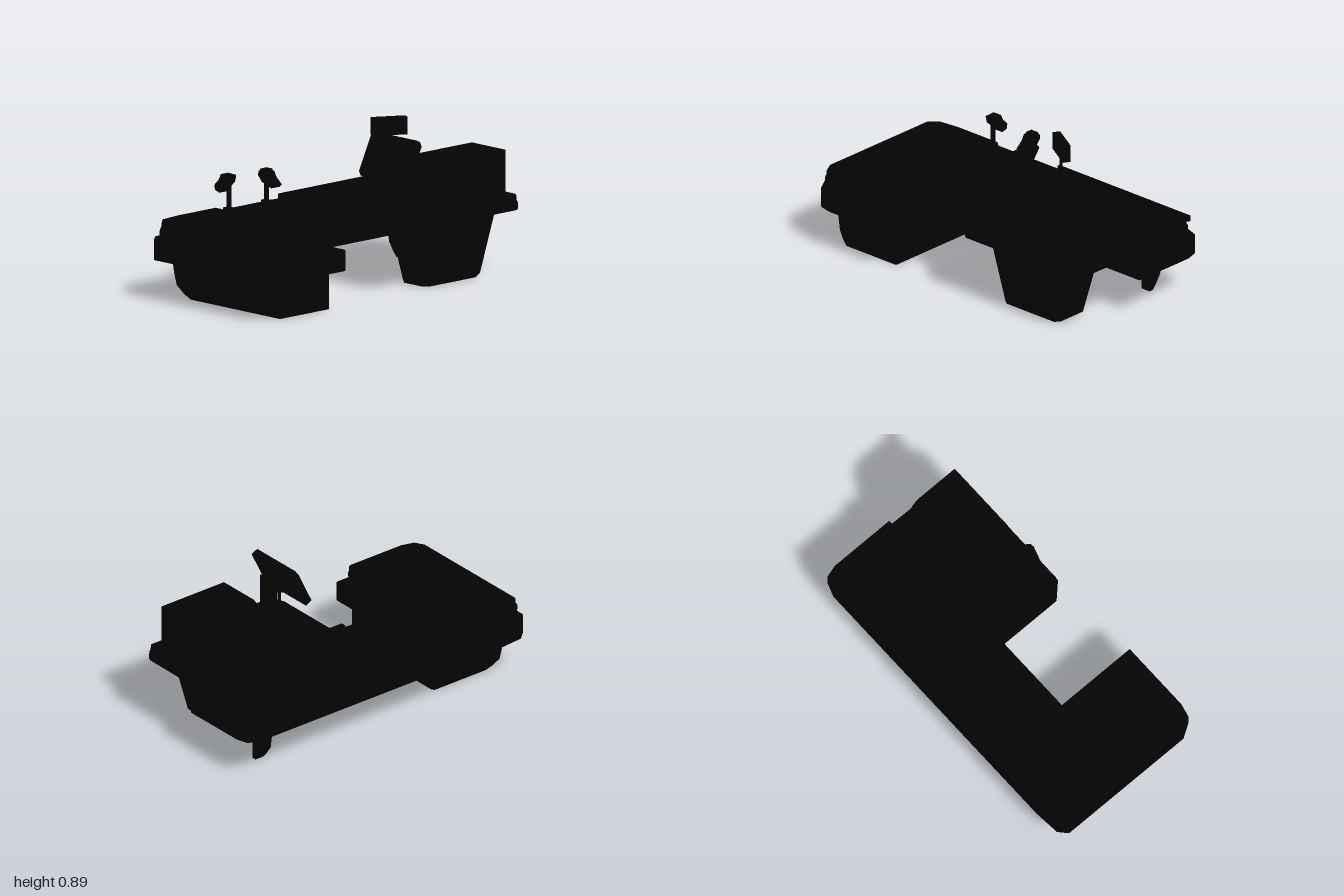
import * as THREE from 'three';

const material = new THREE.MeshStandardMaterial({ color: 0x040404, flatShading: true, side: THREE.DoubleSide });

export function createModel() {
  const model = new THREE.Group();

  function add(name, geometry, parent = model) {
    const mesh = new THREE.Mesh(geometry, material);
    mesh.name = name;
    parent.add(mesh);
    return mesh;
  }

  // Box given by its limits on each axis
  function box(name, x0, x1, y0, y1, z0, z1) {
    const g = new THREE.BoxGeometry(x1 - x0, y1 - y0, z1 - z0);
    g.translate((x0 + x1) / 2, (y0 + y1) / 2, (z0 + z1) / 2);
    return add(name, g);
  }

  const toPoints = (list) => list.map(([a, b]) => new THREE.Vector2(a, b));

  function extrude(points, depth, bevel, hole) {
    const shape = new THREE.Shape(toPoints(points));
    if (hole) shape.holes.push(new THREE.Path(toPoints(hole)));
    const g = new THREE.ExtrudeGeometry(shape, {
      depth: depth - 2 * bevel, bevelEnabled: bevel > 0, bevelSize: bevel,
      bevelThickness: bevel, bevelOffset: -bevel, bevelSegments: 2,
    });
    return g.translate(0, 0, bevel);
  }

  // Plan outline of [x, z] points raised from y0 to y1
  function slab(name, outline, y0, y1, bevel = 0, hole) {
    const flip = (list) => list.map(([x, z]) => [x, -z]);
    const g = extrude(flip(outline), y1 - y0, bevel, hole && flip(hole));
    return add(name, g.rotateX(-Math.PI / 2).translate(0, y0, 0));
  }

  // Side outline of [z, y] points running from x0 to x1
  function profile(name, outline, x0, x1, bevel = 0, parent = model) {
    const g = extrude(outline, x1 - x0, bevel);
    return add(name, g.rotateY(-Math.PI / 2).translate(x1, 0, 0), parent);
  }

  // Chamfered rectangular rings [y, x0, x1, z0, z1], listed from top to bottom
  function loft(name, rings, c) {
    const pos = [], index = [], n = 8;
    for (const [y, x0, x1, z0, z1] of rings) {
      const ring = [[x0 + c, z0], [x1 - c, z0], [x1, z0 + c], [x1, z1 - c],
        [x1 - c, z1], [x0 + c, z1], [x0, z1 - c], [x0, z0 + c]];
      for (const [x, z] of ring) pos.push(x, y, z);
    }
    for (let r = 0; r < rings.length - 1; r++) {
      for (let i = 0; i < n; i++) {
        const a = r * n + i, b = r * n + (i + 1) % n;
        index.push(a, b, a + n, b, b + n, a + n);
      }
    }
    const last = (rings.length - 1) * n;
    for (let i = 1; i < n - 1; i++) {
      index.push(0, i + 1, i, last, last + i, last + i + 1);
    }
    const g = new THREE.BufferGeometry();
    g.setAttribute('position', new THREE.Float32BufferAttribute(pos, 3));
    g.setIndex(index);
    const flat = g.toNonIndexed();
    flat.computeVertexNormals();
    return add(name, flat);
  }

  // Lower counter body
  slab('counterBody', [[-1, -0.44], [-0.95, -0.485], [-0.8, -0.498], [0.9, -0.498], [0.98, -0.47],
    [1, -0.4], [1, 0], [-0.44, 0], [-0.44, 0.498], [-0.87, 0.498], [-0.95, 0.48], [-1, 0.4]],
  0.224, 0.347, 0.006);

  // Supports
  loft('sidePedestal', [[0.225, -0.91, -0.46, -0.4, 0.4], [0.15, -0.905, -0.46, -0.39, 0.4],
    [0.08, -0.895, -0.46, -0.38, 0.4], [0.03, -0.87, -0.46, -0.345, 0.4],
    [0, -0.845, -0.46, -0.32, 0.4]], 0.012);
  loft('taperedPedestal', [[0.345, 0.24, 0.82, 0.12, 0.4], [0.02, 0.305, 0.745, 0.158, 0.365],
    [0, 0.31, 0.715, 0.165, 0.36]], 0.025);
  profile('rearLeg', [[-0.4, 0.23], [-0.39, 0.15], [-0.38, 0.08], [-0.345, 0.03], [-0.32, 0],
    [-0.295, 0], [-0.295, 0.23]], 0.74, 0.805, 0.005);
  box('topConnector', 0.43, 0.62, 0.335, 0.37, -0.2, 0.05);

  // Worktop edge band, running round the whole counter
  slab('worktopBand', [[-0.8, -0.475], [0.88, -0.475], [0.945, -0.45], [0.96, -0.38],
    [0.952, 0.425], [0.925, 0.455], [0.11, 0.455], [0.03, 0.375], [0.03, -0.04], [-0.5, -0.04],
    [-0.5, 0.473], [-0.87, 0.473], [-0.95, 0.45], [-0.985, 0.39], [-0.985, -0.41], [-0.93, -0.46]],
  0.355, 0.41, 0.016);

  // Side deck: raised rim around a shallow tray
  const sideDeck = [[-0.5, -0.468], [-0.5, 0.463], [-0.87, 0.463], [-0.945, 0.44], [-0.975, 0.385],
    [-0.975, -0.405], [-0.925, -0.453], [-0.8, -0.468]];
  slab('sideDeckRim', sideDeck, 0.4, 0.445, 0.01,
    sideDeck.map(([x, z]) => [-0.73 + (x + 0.73) * 0.88, z * 0.92]));
  slab('sideDeckTray', sideDeck.map(([x, z]) => [-0.73 + (x + 0.73) * 0.92, z * 0.94]), 0.4, 0.435);

  // Low belt deck along the back, with guide rails at its right half
  slab('beltDeck', [[-0.52, -0.466], [0.88, -0.466], [0.94, -0.445], [0.953, -0.38],
    [0.953, -0.05], [-0.52, -0.05]], 0.4, 0.426, 0.006);
  box('innerRail', -0.03, 0.955, 0.42, 0.455, -0.085, -0.05);
  box('backRail', -0.03, 0.955, 0.42, 0.453, -0.46, -0.442);

  // Till deck
  slab('tillDeck', [[0.037, -0.06], [0.953, -0.06], [0.945, 0.42], [0.92, 0.448], [0.113, 0.448],
    [0.037, 0.372]], 0.4, 0.444, 0.01);

  // Cabinet with open, sloping back
  const side = [[0.388, 0.44], [0.388, 0.693], [0.13, 0.693], [0.1, 0.68], [0.075, 0.655],
    [0, 0.49], [-0.035, 0.485], [-0.035, 0.44]];
  for (const x of [0.45, 0.873]) profile('cabinetSide', side, x, x + 0.022);
  box('cabinetFront', 0.45, 0.895, 0.44, 0.693, 0.366, 0.388);
  box('cabinetTop', 0.45, 0.895, 0.673, 0.693, 0.12, 0.388);
  box('cabinetFloor', 0.45, 0.895, 0.44, 0.46, -0.03, 0.388);
  box('cabinetShelf', 0.46, 0.885, 0.555, 0.57, 0.06, 0.375);

  // Screen base, arm and tilted screen
  slab('screenBase', [[0.09, 0.06], [0.13, 0.02], [0.4, 0.02], [0.4, 0.38], [0.13, 0.38], [0.09, 0.34]],
    0.44, 0.485, 0.01);
  box('armFoot', 0.23, 0.36, 0.48, 0.5, 0.11, 0.28);
  box('screenArm', 0.255, 0.315, 0.485, 0.685, 0.16, 0.24);
  const neck = add('screenNeck', new THREE.BoxGeometry(0.1, 0.05, 0.08));
  neck.position.set(0.25, 0.69, 0.2);
  neck.rotation.z = -0.45;
  const screen = new THREE.Group();
  screen.name = 'screen';
  const rim = (w, h, c) => [[-w + c, -h], [w - c, -h], [w, -h + c], [w, h - c],
    [w - c, h], [-w + c, h], [-w, h - c], [-w, -h + c]];
  profile('screenCase', rim(0.186, 0.128, 0.022), -0.02, 0.02, 0.006, screen);
  profile('screenBack', rim(0.15, 0.095, 0.02), 0.015, 0.032, 0.006, screen);
  screen.position.set(0.196, 0.717, 0.197);
  screen.rotation.z = -0.45;
  model.add(screen);

  // Turned display on a post
  const pole = (name, r, x, y0, y1, z) =>
    add(name, new THREE.CylinderGeometry(r, r, y1 - y0, 12).translate(x, (y0 + y1) / 2, z));
  pole('displayPost', 0.008, 0.39, 0.44, 0.8, -0.022);
  box('displayPostFoot', 0.37, 0.41, 0.44, 0.485, -0.04, 0);
  const display = add('displayHead', new THREE.BoxGeometry(0.2, 0.098, 0.045));
  display.position.set(0.395, 0.84, -0.02);
  display.rotation.y = -0.53;

  // Two card terminals on posts, facing opposite ways
  const heads = [
    ['customerTerminal', -0.18, 0.035, [[-0.307, 0.545], [-0.325, 0.53], [-0.4, 0.555],
      [-0.43, 0.59], [-0.425, 0.615], [-0.37, 0.615], [-0.35, 0.58]]],
    ['rearTerminal', -0.47, 0.031, [[-0.365, 0.635], [-0.375, 0.595], [-0.44, 0.53],
      [-0.475, 0.54], [-0.48, 0.57], [-0.445, 0.605], [-0.43, 0.637]]],
  ];
  for (const [name, x, half, outline] of heads) {
    profile(name + 'Head', outline, x - half, x + half, 0.004);
    pole(name + 'Post', 0.014, x, 0.41, 0.58, -0.395);
    box(name + 'Foot', x - 0.02, x + 0.02, 0.415, 0.45, -0.42, -0.37);
  }
  box('customerTerminalCap', -0.205, -0.155, 0.605, 0.626, -0.42, -0.375);

  return model;
}
